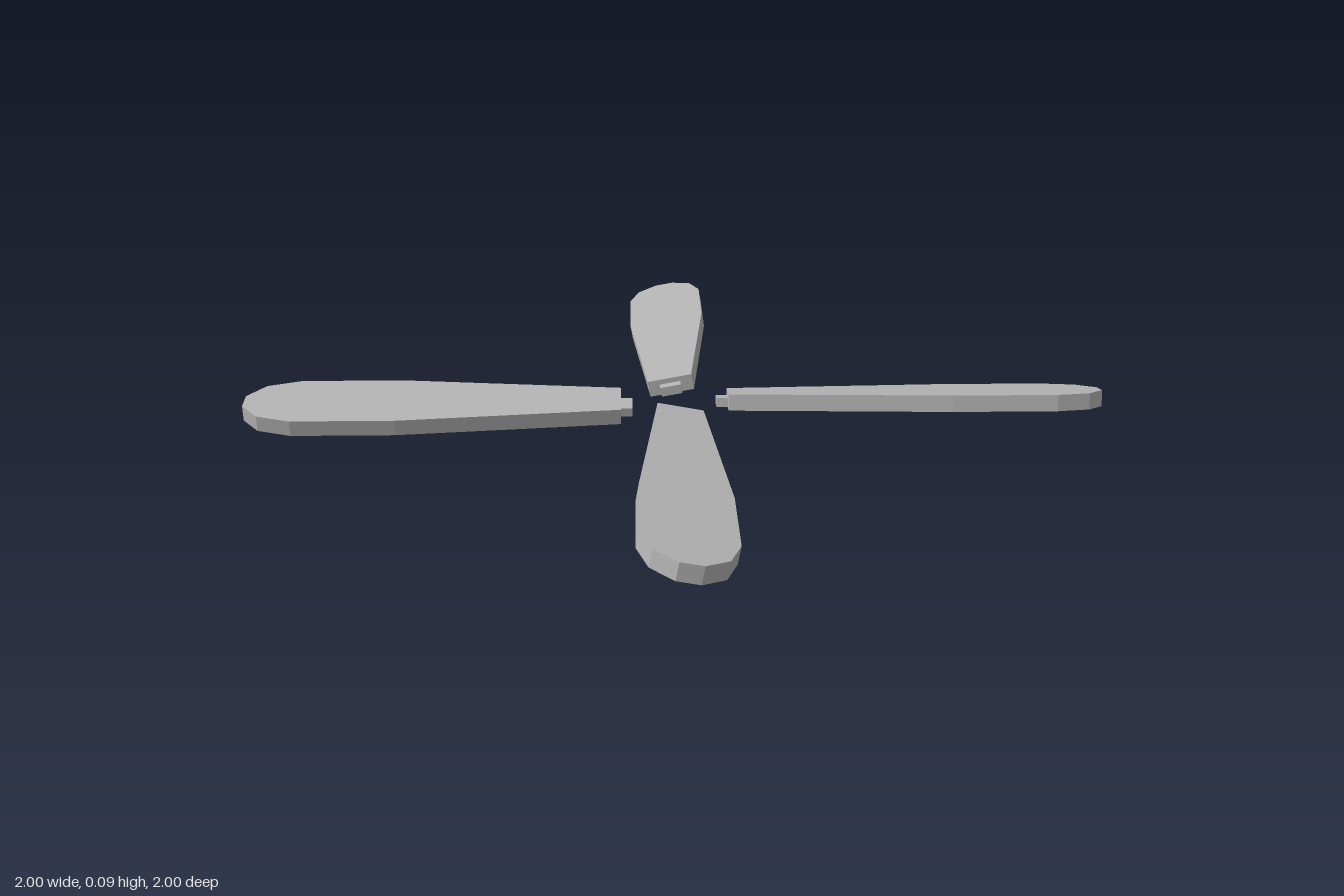
import * as THREE from 'three';

export function createModel() {
  const model = new THREE.Group();
  const grey = new THREE.MeshStandardMaterial({ color: 0xb4b4b4 });
  grey.name = 'blade grey';

  const thickness = 0.038, pitch = 0.18;

  // half outline of a blade: distance from the hub, half width
  const half = [[0.125, 0.053], [0.64, 0.097], [0.88, 0.097], [0.959, 0.073], [1, 0.024]];
  const outline = [...half.map(([r, w]) => [r, -w]), ...half.map(([r, w]) => [r, w]).reverse()];
  const shape = new THREE.Shape(outline.map(([r, w]) => new THREE.Vector2(r, w)));
  const bladeGeometry = new THREE.ExtrudeGeometry(shape, { depth: thickness, bevelEnabled: false });
  bladeGeometry.translate(0, 0, -thickness / 2).rotateX(-Math.PI / 2);

  // short mounting tab at the root
  const tabGeometry = new THREE.BoxGeometry(0.034, 0.022, 0.05);
  tabGeometry.translate(0.115, -0.004, 0);

  // name, heading, hub position of each blade
  const blades = [
    ['leftBlade', 0, 0, 0.048, -0.010],
    ['frontBlade', -Math.PI / 2, 0.008, 0.057, -0.003],
    ['rightBlade', Math.PI, 0, 0.037, 0],
    ['backBlade', Math.PI / 2, -0.006, 0.045, 0],
  ];
  for (const [name, heading, x, y, z] of blades) {
    const group = new THREE.Group();
    group.name = name;
    group.position.set(x, y, z);
    group.rotation.y = heading;

    const pitched = new THREE.Group();
    pitched.name = 'pitchedBlade';
    pitched.rotation.x = -pitch;
    const blade = new THREE.Mesh(bladeGeometry, grey);
    blade.name = 'blade';
    const tab = new THREE.Mesh(tabGeometry, grey);
    tab.name = 'mountingTab';
    pitched.add(blade, tab);
    group.add(pitched);
    model.add(group);
  }
  return model;
}
